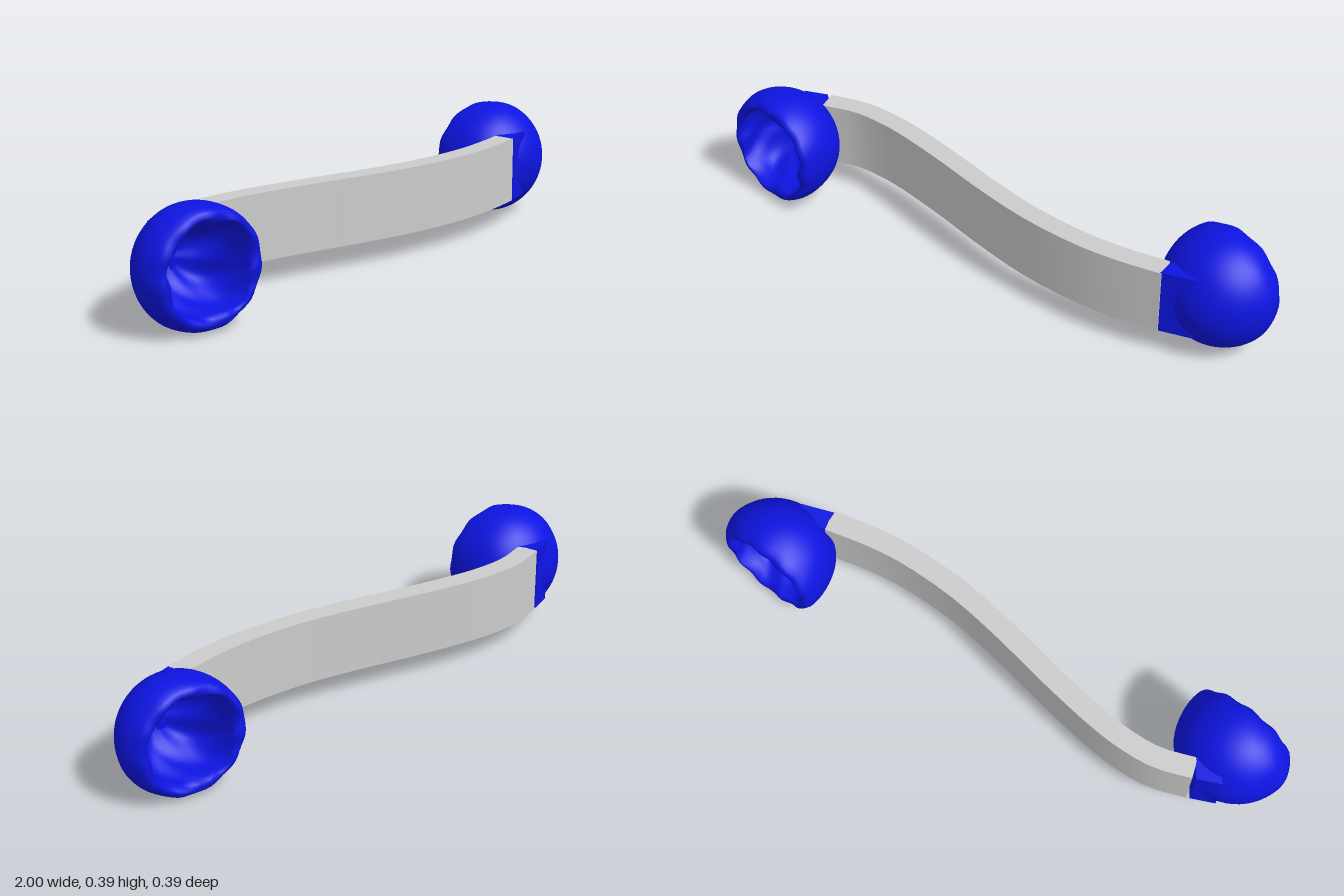
import * as THREE from 'three';
import { mergeVertices, toCreasedNormals } from 'three/addons/utils/BufferGeometryUtils.js';

const CUP_X = 0.805, CUP_Y = 0.197, CUP_Z = 0.09;   // cup centre
const BAR_BOTTOM = 0.087, BAR_HEIGHT = 0.223, BAR_HALF = 0.035;

// Upright slab from an outline of [x, z] points
function slab(outline) {
  const shape = new THREE.Shape(outline.map(([x, z]) => new THREE.Vector2(x, -z)));
  const geo = new THREE.ExtrudeGeometry(shape, { depth: BAR_HEIGHT, bevelEnabled: false });
  geo.rotateX(-Math.PI / 2);
  geo.translate(0, BAR_BOTTOM, 0);
  return toCreasedNormals(geo, 0.6);
}

// S-curved bar of even thickness
function barGeometry() {
  const curve = new THREE.SplineCurve([
    [-0.74, -0.072], [-0.62, -0.102], [-0.5, -0.1], [-0.38, -0.08], [-0.2, -0.035],
    [0, 0.022], [0.2, 0.068], [0.4, 0.088], [0.55, 0.082], [0.69, 0.062],
  ].map(([x, z]) => new THREE.Vector2(x, z)));
  const front = [], back = [];
  const n = 24;
  for (let i = 0; i <= n; i++) {
    const p = curve.getPoint(i / n), t = curve.getTangent(i / n);
    front.push([p.x - t.y * BAR_HALF, p.y + t.x * BAR_HALF]);
    back.unshift([p.x + t.y * BAR_HALF, p.y - t.x * BAR_HALF]);
  }
  return slab([...front, ...back]);
}

// Hollow cup: domed outside, rounded slanted lip, uneven hollow inside
function cupGeometry() {
  const pts = [];
  for (let i = 0; i <= 20; i++) {                    // outside, from pole past the equator
    const a = -Math.PI / 2 + (i / 20) * (Math.PI / 2 + 0.33);
    pts.push(new THREE.Vector2(i ? 0.195 * Math.cos(a) : 0, 0.182 * Math.sin(a)));
  }
  for (const [r, h] of [[0.177, 0.069], [0.168, 0.075], [0.159, 0.074], [0.151, 0.066]])
    pts.push(new THREE.Vector2(r, h));
  const lip = 0.145;
  for (let i = 0; i <= 12; i++) {                    // inside, down to the floor
    const a = (i / 12) * Math.PI / 2;
    pts.push(new THREE.Vector2(i < 12 ? lip * Math.cos(a) : 0, 0.05 - 0.17 * Math.sin(a)));
  }
  let geo = new THREE.LatheGeometry(pts, 64);
  const pos = geo.attributes.position, rows = pts.length;
  for (let i = 0; i < pos.count; i++) {
    const row = i % rows;
    let x = pos.getX(i), y = pos.getY(i), z = pos.getZ(i);
    const a = Math.atan2(z, x), r = Math.hypot(x, z);
    if (row > 23) {                                  // squarish, lumpy hollow
      const s = 1 - 0.05 * Math.cos(4 * a) + 0.03 * Math.sin(7 * a + y * 40);
      x *= s;
      z *= s;
      y += 0.07 * r * Math.sin(5 * a + 1);
    }
    const k = THREE.MathUtils.smoothstep(y, -0.1, 0.06);
    y += k * (0.15 * x + 0.003 * Math.sin(11 * a));  // slanted, slightly wavy rim
    pos.setXYZ(i, x, y, z);
  }
  geo.deleteAttribute('uv');
  geo.deleteAttribute('normal');
  geo = mergeVertices(geo, 1e-5);
  geo.computeVertexNormals();
  geo.rotateX(Math.PI / 2);
  return geo;
}

export function createModel() {
  const model = new THREE.Group();
  model.name = 'doubleCupHandle';
  const grey = new THREE.MeshStandardMaterial({ color: 0xcccccc });
  const blue = new THREE.MeshStandardMaterial({ color: 0x0d14e0 });
  const add = (name, geo, mat) => {
    const mesh = new THREE.Mesh(geo, mat);
    mesh.name = name;
    model.add(mesh);
    return mesh;
  };

  add('curvedBar', barGeometry(), grey);

  // Tapered tabs joining the bar ends to the domes
  add('rightTab', slab([[-0.76, -0.102], [-0.84, -0.075], [-0.80, -0.02], [-0.725, -0.04]]), blue);
  add('leftTab', slab([[0.69, 0.094], [0.80, 0.066], [0.80, 0.02], [0.69, 0.028]]), blue);

  // Cups, the left one opening to the back
  const cup = cupGeometry();
  add('rightCup', cup, blue).position.set(-CUP_X, CUP_Y, CUP_Z);
  const left = add('leftCup', cup, blue);
  left.position.set(CUP_X, CUP_Y, -CUP_Z);
  left.rotation.y = Math.PI;

  return model;
}
